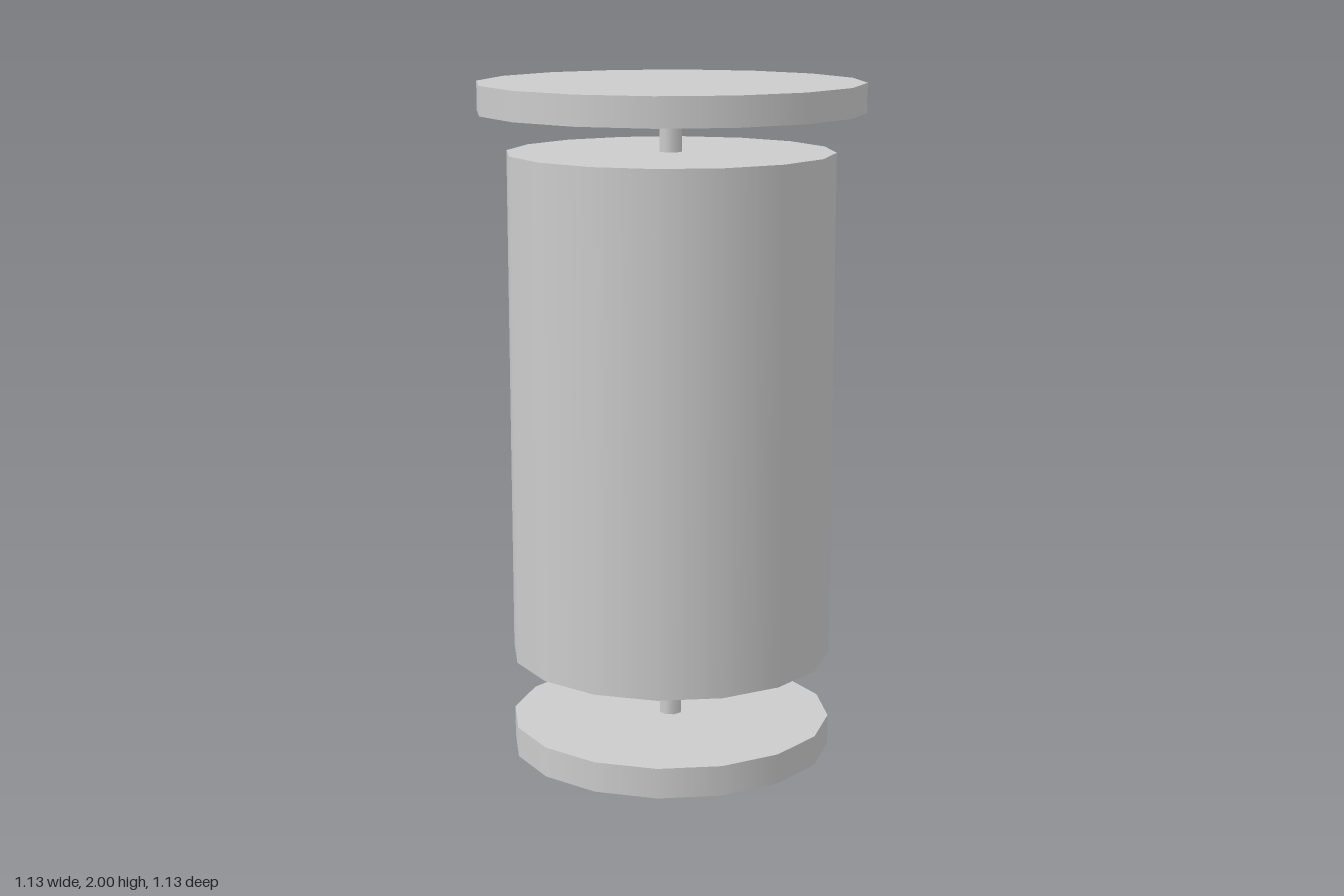
import * as THREE from 'three';

const material = new THREE.MeshStandardMaterial({ color: 0xcccccc });

// Upright closed cylinder spanning y0 to y1
function disc(name, radius, y0, y1, sides) {
  const geometry = new THREE.CylinderGeometry(radius, radius, y1 - y0, sides);
  const mesh = new THREE.Mesh(geometry, material);
  mesh.name = name;
  mesh.position.y = (y0 + y1) / 2;
  return mesh;
}

export function createModel() {
  const group = new THREE.Group();
  group.name = 'spindleDrum';
  group.add(
    disc('base', 0.48, 0, 0.09, 16),
    disc('drum', 0.48, 0.295, 1.8, 16),
    disc('lid', 0.565, 1.915, 2, 16),
    // Thin rod joining base, drum and lid
    disc('centralRod', 0.034, 0.05, 1.95, 8),
  );
  return group;
}
